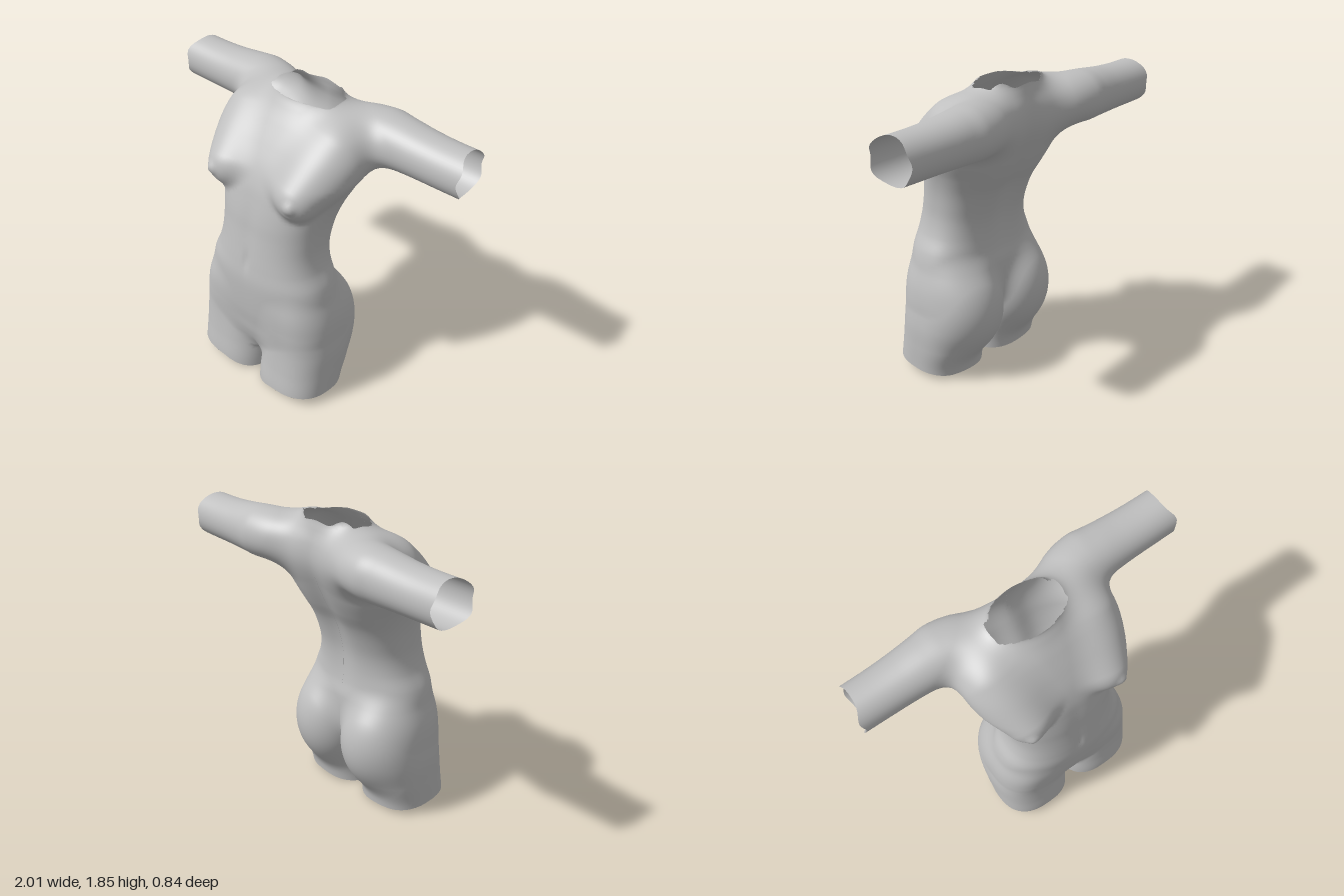
import * as THREE from 'three';
import { mergeGeometries } from 'three/addons/utils/BufferGeometryUtils.js';

// Trunk sections: y, half width, front z, back z
const TRUNK = [
  [0.1, 0.02, 0.24, 0.16], [0.25, 0.12, 0.34, 0.05], [0.35, 0.28, 0.375, -0.02], [0.45, 0.41, 0.39, -0.08],
  [0.55, 0.445, 0.403, -0.105], [0.7, 0.425, 0.412, -0.11], [0.8, 0.4, 0.412, -0.092], [0.9, 0.355, 0.4, -0.088],
  [1, 0.333, 0.385, -0.098], [1.1, 0.333, 0.37, -0.125], [1.2, 0.345, 0.357, -0.165], [1.3, 0.372, 0.337, -0.222],
  [1.4, 0.415, 0.31, -0.27], [1.5, 0.45, 0.265, -0.308], [1.6, 0.44, 0.2, -0.325], [1.7, 0.36, 0.125, -0.318],
  [1.78, 0.25, 0.06, -0.295], [1.84, 0.205, 0.022, -0.28], [2, 0.2, 0.01, -0.28],
];
// Thigh sections: y, centre x, half width, front z, back z
const THIGH = [
  [-0.15, 0.243, 0.239, 0.425, -0.02], [0.05, 0.243, 0.24, 0.42, -0.035], [0.2, 0.245, 0.242, 0.4, -0.09],
  [0.35, 0.247, 0.239, 0.385, -0.125], [0.5, 0.25, 0.21, 0.38, -0.12], [0.65, 0.245, 0.16, 0.36, -0.07],
  [0.8, 0.22, 0.08, 0.28, 0.05],
];
// Arm sections: x, centre y, half height, centre z, half depth
const ARM = [
  [-0.1, 1.6, 0.06, -0.15, 0.06], [0.15, 1.64, 0.13, -0.18, 0.13], [0.3, 1.65, 0.148, -0.215, 0.175],
  [0.45, 1.654, 0.15, -0.255, 0.165], [0.55, 1.651, 0.145, -0.258, 0.152], [0.7, 1.645, 0.135, -0.258, 0.141],
  [0.85, 1.642, 0.131, -0.257, 0.136], [1.1, 1.645, 0.13, -0.257, 0.134],
];

// Smooth interpolation of a section table
function section(table, t) {
  const n = table.length;
  let i = 0;
  while (i < n - 2 && t > table[i + 1][0]) i++;
  const a = table[i], b = table[i + 1], p = table[Math.max(i - 1, 0)], q = table[Math.min(i + 2, n - 1)];
  const d = b[0] - a[0], s = Math.min(Math.max((t - a[0]) / d, 0), 1);
  const out = [];
  for (let k = 1; k < a.length; k++) {
    const m0 = (b[k] - p[k]) / (b[0] - p[0]) * d, m1 = (q[k] - a[k]) / (q[0] - a[0]) * d;
    const s2 = s * s, s3 = s2 * s;
    out.push((2 * s3 - 3 * s2 + 1) * a[k] + (s3 - 2 * s2 + s) * m0 + (3 * s2 - 2 * s3) * b[k] + (s3 - s2) * m1);
  }
  return out;
}
const oval = (u, v, a, b, p) =>
  ((Math.abs(u / a) ** p + Math.abs(v / b) ** p) ** (1 / p) - 1) * Math.min(a, b);
const ball = (x, y, z, c, r) =>
  (Math.hypot((x - c[0]) / r[0], (y - c[1]) / r[1], (z - c[2]) / r[2]) - 1) * Math.min(...r);
// Rounded bar from a to b, its radius changing from ra to rb
function bar(x, y, z, a, b, ra, rb) {
  const d = a.map((v, i) => b[i] - v), p = [x - a[0], y - a[1], z - a[2]];
  const dot = p[0] * d[0] + p[1] * d[1] + p[2] * d[2];
  const t = THREE.MathUtils.clamp(dot / (d[0] ** 2 + d[1] ** 2 + d[2] ** 2), 0, 1);
  return Math.hypot(p[0] - t * d[0], p[1] - t * d[1], p[2] - t * d[2]) - ra - (rb - ra) * t;
}
const blend = (a, b, k) => {
  const h = Math.max(k - Math.abs(a - b), 0) / k;
  return Math.min(a, b) - h * h * k / 4;
};
const bump = (v, c, w) => Math.exp(-(((v - c) / w) ** 2));

// Body field for the left half: negative inside
function field(x, y, z) {
  const [w, zf, zb] = section(TRUNK, y);
  const mid = (zf + zb) / 2;
  let f = oval(x, z - mid, w, (zf - zb) / 2, 2.4 - 0.4 * THREE.MathUtils.smoothstep(y, 1.6, 1.8));
  f += Math.max(0.18 - y, 0);
  // spine furrow, navel and abdominal line
  if (z < mid) f += 0.034 * bump(x, 0, 0.09) * bump(y, 1.32, 0.42);
  else f += 0.007 * bump(x, 0, 0.022) * bump(y, 0.92, 0.06) + 0.005 * bump(x, 0, 0.06) * bump(y, 1.15, 0.25);
  // breast, sloping up and fading into the chest; the fold beneath stays tighter
  if (y > 1.05) {
    let chest = bar(x, y, z, [0.262, 1.402, 0.238], [0.315, 1.62, -0.015], 0.12, 0.13);
    chest = blend(chest, ball(x, y, z, [0.29, 1.405, 0.338], [0.03, 0.03, 0.03]), 0.03);
    f = blend(f, chest, 0.05 + 0.09 * THREE.MathUtils.smoothstep(y, 1.3, 1.5));
  }
  // shoulder and arm
  const [cy, ry, cz, rz] = section(ARM, x);
  f = blend(f, oval(y - cy, z - cz, ry, rz, 2.1), 0.1);
  // thigh and buttock
  if (y < 0.95) {
    const [cx, rx, tf, tb] = section(THIGH, y);
    let leg = oval(x - cx, z - (tf + tb) / 2, rx, (tf - tb) / 2, 2.5);
    if (y > 0.8) leg += y - 0.8;
    leg = blend(leg, ball(x, y, z, [0.208, 0.44, 0.005], [0.222, 0.29, 0.218]), 0.08);
    f = blend(f, leg, 0.06);
  }
  return f;
}

// Height of the neck opening's edge: a peak on each side at the back, out of reach past the neck
const neckEdge = (x, z) => 1.8 + 0.024 * bump(z, 0.03, 0.06) + 0.05 * bump(x, 0.17, 0.05) * bump(z, -0.24, 0.07)
  + 0.03 * bump(x, 0, 0.11) * bump(z, -0.28, 0.06) + 0.1 * THREE.MathUtils.smoothstep(x, 0.21, 0.27);

// Open ends: each returns how far a point lies past the cut, and the axis to pull it back along
const CUTS = [
  { axis: 0, pull: 1, past: (p) => -p[0] },
  { axis: 0, pull: -1, past: (p) => p[0] - (0.972 + 0.025 * bump(p[2], -0.13, 0.06) + 0.008 * Math.sin(p[1] * 45)) },
  { axis: 1, pull: 1, past: (p) =>
    0.07 * Math.min(p[0], 0.5) + 0.09 * Math.max(p[2], 0) * Math.min(p[0] * 5, 1) - 0.005 - p[1] },
  { axis: 1, pull: -1, past: (p) => p[1] - neckEdge(p[0], p[2]) },
];

// Turns the field into quads, sorted into named parts
function meshHalf() {
  const h = 0.02, nx = 56, ny = 104, nz = 50, o = [-0.05, -0.09, -0.5];
  const id = (i, j, k) => (i * ny + j) * nz + k;
  const val = new Float32Array(nx * ny * nz);
  for (let i = 0; i < nx; i++) for (let j = 0; j < ny; j++) for (let k = 0; k < nz; k++)
    val[id(i, j, k)] = field(o[0] + i * h, o[1] + j * h, o[2] + k * h);

  // one vertex in each cell that the surface crosses
  const verts = new Map();
  const step = [id(1, 0, 0), id(0, 1, 0), id(0, 0, 1)];
  for (let i = 0; i < nx - 1; i++) for (let j = 0; j < ny - 1; j++) for (let k = 0; k < nz - 1; k++) {
    const base = id(i, j, k), sum = [0, 0, 0];
    let n = 0;
    for (let c = 0; c < 8; c++) for (let a = 0; a < 3; a++) {
      if (c >> a & 1) continue;
      const bits = [c & 1, c >> 1 & 1, c >> 2 & 1];
      const g = base + bits[0] * step[0] + bits[1] * step[1] + bits[2] * step[2];
      const v0 = val[g], v1 = val[g + step[a]];
      if ((v0 < 0) === (v1 < 0)) continue;
      bits[a] = v0 / (v0 - v1);
      for (let d = 0; d < 3; d++) sum[d] += bits[d];
      n++;
    }
    if (!n) continue;
    const p = [i, j, k].map((c, d) => o[d] + (c + sum[d] / n) * h);
    const e = 0.008, [x, y, z] = p;
    const normal = new THREE.Vector3(
      field(x + e, y, z) - field(x - e, y, z),
      field(x, y + e, z) - field(x, y - e, z),
      field(x, y, z + e) - field(x, y, z - e));
    if (x < 0.012 && y > 0.72) normal.x = 0;
    normal.normalize();
    const out = CUTS.map((c) => c.past(p) > 0);
    for (const c of CUTS) p[c.axis] += c.pull * Math.max(c.past(p), 0);
    verts.set(base, { p, n: normal, out });
  }

  // one quad around each crossed grid edge
  const parts = { torso: [], arm: [], thigh: [] };
  for (let i = 1; i < nx - 1; i++) for (let j = 1; j < ny - 1; j++) for (let k = 1; k < nz - 1; k++) {
    const g = id(i, j, k);
    for (let a = 0; a < 3; a++) {
      const inside = val[g] < 0;
      if (inside === (val[g + step[a]] < 0)) continue;
      const u = step[(a + 1) % 3], v = step[(a + 2) % 3];
      const q = [g - u - v, g - v, g, g - u].map((c) => verts.get(c));
      if (q.includes(undefined) || CUTS.some((c, m) => q.every((s) => s.out[m]))) continue;
      if (!inside) q.reverse();
      const [x, y] = q[0].p;
      const name = x > 0.5 && y > 1.3 ? 'arm' : y < 0.3 ? 'thigh' : 'torso';
      parts[name].push(q[0], q[1], q[2], q[0], q[2], q[3]);
    }
  }
  return parts;
}

// Geometry of one side; side -1 mirrors it
function sideGeometry(list, side) {
  const index = new Map(), pos = [], nor = [], idx = [];
  for (const v of list) {
    if (!index.has(v)) {
      index.set(v, index.size);
      pos.push(v.p[0] * side, v.p[1], v.p[2]);
      nor.push(v.n.x * side, v.n.y, v.n.z);
    }
    idx.push(index.get(v));
  }
  if (side < 0) for (let i = 0; i < idx.length; i += 3) [idx[i], idx[i + 1]] = [idx[i + 1], idx[i]];
  const geo = new THREE.BufferGeometry();
  geo.setAttribute('position', new THREE.Float32BufferAttribute(pos, 3));
  geo.setAttribute('normal', new THREE.Float32BufferAttribute(nor, 3));
  geo.setIndex(idx);
  return geo;
}

export function createModel() {
  const group = new THREE.Group();
  group.name = 'torsoSculpture';
  const grey = new THREE.MeshStandardMaterial({ color: 0xbfbfbf, side: THREE.DoubleSide });
  grey.name = 'plaster grey';
  const add = (name, geo) => {
    const mesh = new THREE.Mesh(geo, grey);
    mesh.name = name;
    group.add(mesh);
  };
  const half = meshHalf();
  add('torso', mergeGeometries([sideGeometry(half.torso, 1), sideGeometry(half.torso, -1)]));
  for (const [label, side] of [['left', 1], ['right', -1]]) {
    add(label + 'Arm', sideGeometry(half.arm, side));
    add(label + 'Thigh', sideGeometry(half.thigh, side));
  }
  return group;
}
